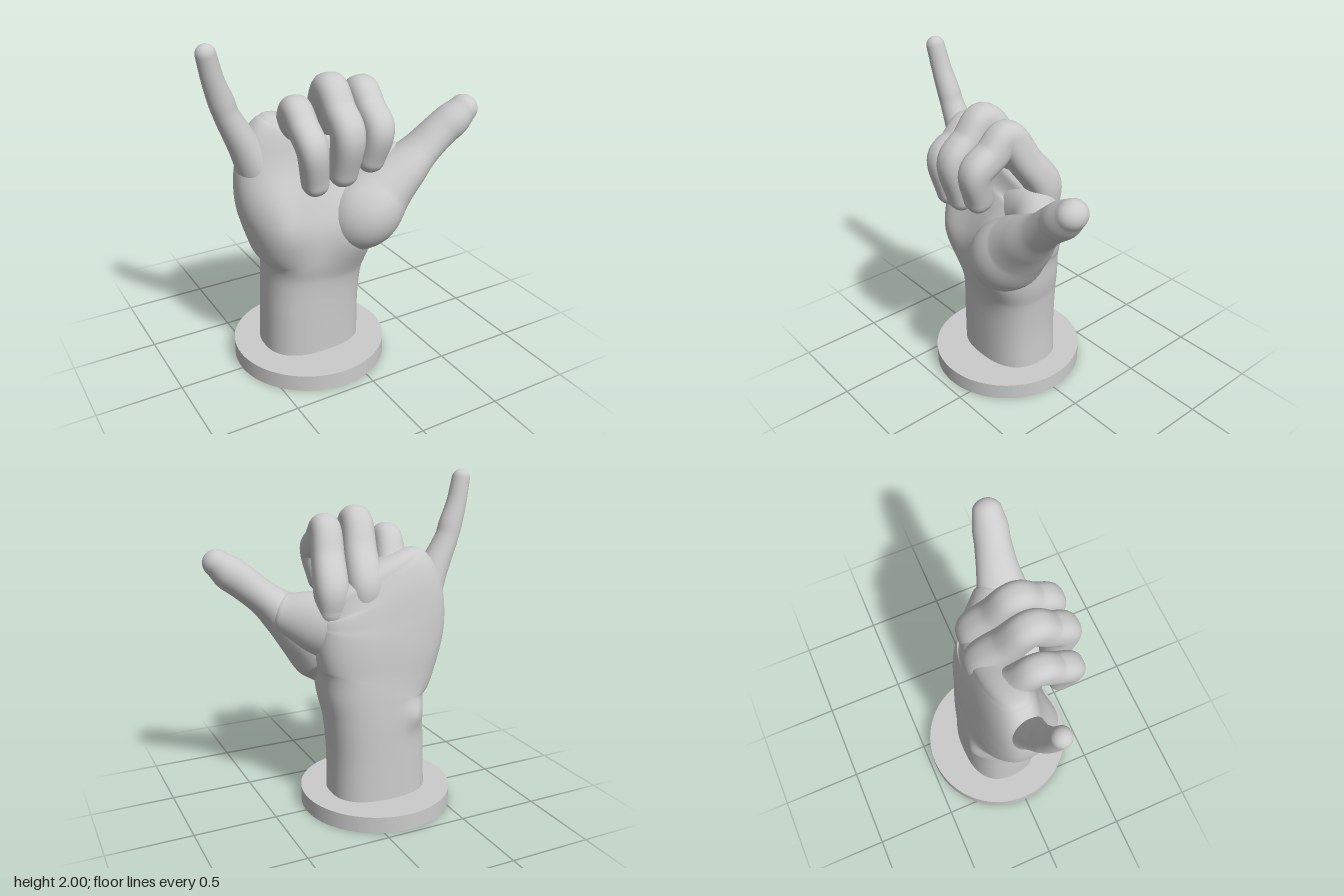
import * as THREE from 'three';

const material = new THREE.MeshStandardMaterial({ color: 0xcccccc, roughness: 0.8 });
const X = new THREE.Vector3(1, 0, 0);
const Z = new THREE.Vector3(0, 0, 1);

// Sweeps rounded cross-sections along a curve.
// Stations are [x, y, z, half width along side, half depth]; caps scale the rounded ends.
function limb(stations, { side = X, power = 2.3, caps = [1, 1], rows = 40, cols = 40 } = {}) {
  const path = new THREE.CatmullRomCurve3(stations.map(s => new THREE.Vector3(s[0], s[1], s[2])));
  const size = new THREE.CatmullRomCurve3(
    stations.map(s => new THREE.Vector3(s[3], s[4], 0)), false, 'catmullrom', 0.5);
  const steps = [];
  const capRows = 8;
  for (let k = 0; k < capRows; k++) steps.push([0, -(1 - k / capRows) * Math.PI / 2]);
  for (let k = 0; k <= rows; k++) steps.push([k / rows, 0]);
  for (let k = 1; k <= capRows; k++) steps.push([1, (k / capRows) * Math.PI / 2]);

  const round = v => Math.sign(v) * Math.abs(v) ** (2 / power);
  const positions = [], index = [];
  steps.forEach(([u, phi], i) => {
    const t = path.getTangent(u);
    const s = side.clone().addScaledVector(t, -side.dot(t)).normalize();
    const n = new THREE.Vector3().crossVectors(t, s);
    const r = size.getPoint(u);
    const bulge = Math.min(r.x, r.y) * caps[u > 0.5 ? 1 : 0];
    const center = path.getPoint(u).addScaledVector(t, bulge * Math.sin(phi));
    const shrink = Math.max(Math.cos(phi), 0.005);
    for (let j = 0; j < cols; j++) {
      const angle = (j / cols) * Math.PI * 2;
      const p = center.clone()
        .addScaledVector(s, r.x * shrink * round(Math.cos(angle)))
        .addScaledVector(n, r.y * shrink * round(Math.sin(angle)));
      positions.push(p.x, p.y, p.z);
      if (i > 0) {
        const a = (i - 1) * cols + j, b = (i - 1) * cols + (j + 1) % cols;
        index.push(a, b, b + cols, a, b + cols, a + cols);
      }
    }
  });
  const geometry = new THREE.BufferGeometry();
  geometry.setAttribute('position', new THREE.Float32BufferAttribute(positions, 3));
  geometry.setIndex(index);
  geometry.computeVertexNormals();
  return geometry;
}

// Pushes the front (+1) or back (-1) of a geometry outwards in a soft mound.
function mound(geometry, facing, x, y, rx, ry, height) {
  const p = geometry.attributes.position;
  for (let i = 0; i < p.count; i++) {
    const weight = THREE.MathUtils.smoothstep(p.getZ(i) * facing, -0.05, 0.18);
    const d = ((p.getX(i) - x) / rx) ** 2 + ((p.getY(i) - y) / ry) ** 2;
    p.setZ(i, p.getZ(i) + facing * height * weight * Math.exp(-d));
  }
  geometry.computeVertexNormals();
}

export function createModel() {
  const model = new THREE.Group();
  model.name = 'handSculpture';
  const add = (name, geometry) => {
    const mesh = new THREE.Mesh(geometry, material);
    mesh.name = name;
    model.add(mesh);
    return mesh;
  };

  // Round plinth
  add('base', new THREE.CylinderGeometry(0.46, 0.46, 0.1, 72)).position.set(-0.155, 0.05, -0.012);

  // Forearm, wrist and palm in one sweep
  const palm = limb([
    [-0.15, 0.06, -0.025, 0.302, 0.236],
    [-0.147, 0.35, -0.02, 0.297, 0.235],
    [-0.133, 0.6, -0.015, 0.302, 0.235],
    [-0.13, 0.72, -0.005, 0.325, 0.238],
    [-0.15, 0.85, -0.005, 0.368, 0.228],
    [-0.165, 1.0, -0.015, 0.4, 0.212],
    [-0.18, 1.15, -0.02, 0.41, 0.19],
    [-0.165, 1.3, -0.025, 0.395, 0.16],
    [-0.115, 1.41, -0.02, 0.345, 0.125],
  ], { power: 2.5, caps: [0, 0.6], rows: 70, cols: 80 });
  mound(palm, 1, -0.42, 0.98, 0.17, 0.24, 0.08);  // heel of the hand
  mound(palm, 1, 0.05, 0.9, 0.2, 0.22, 0.12);     // ball of the thumb
  mound(palm, -1, -0.32, 0.6, 0.07, 0.08, 0.035); // wrist bone
  add('palmAndForearm', palm);

  // Thumb with its fleshy root, and the web joining it to the palm
  add('thumb', limb([
    [-0.02, 0.8, 0.09, 0.13, 0.13],
    [0.09, 0.95, 0.185, 0.225, 0.21],
    [0.23, 1.09, 0.2, 0.2, 0.175],
    [0.35, 1.2, 0.23, 0.16, 0.13],
    [0.45, 1.29, 0.245, 0.128, 0.102],
    [0.57, 1.395, 0.265, 0.108, 0.1],
    [0.64, 1.45, 0.28, 0.105, 0.1],
    [0.705, 1.508, 0.29, 0.088, 0.08],
  ], { side: Z, power: 2, rows: 56 }));
  add('thumbWeb', limb([
    [-0.02, 1.12, -0.02, 0.17, 0.24],
    [0.18, 1.16, 0.05, 0.15, 0.195],
    [0.34, 1.2, 0.17, 0.125, 0.125],
  ], { side: Z, power: 2, caps: [0.6, 0.5] }));

  // Raised little finger
  add('littleFinger', limb([
    [-0.4, 1.12, -0.01, 0.13, 0.13],
    [-0.475, 1.28, -0.005, 0.108, 0.115],
    [-0.535, 1.41, 0, 0.09, 0.095],
    [-0.63, 1.6, 0.005, 0.07, 0.072],
    [-0.658, 1.68, 0.01, 0.07, 0.068],
    [-0.7, 1.8, 0.02, 0.06, 0.06],
    [-0.735, 1.943, 0.033, 0.054, 0.054],
  ], { power: 2 }));

  // Curled fingers: knuckle, middle joint, end joint, tip; r is the half width
  const curled = [
    ['indexFinger', 0.088, [0.14, 1.36, -0.03], [0.085, 1.67, 0.18], [0.07, 1.52, 0.375], [0.045, 1.345, 0.345]],
    ['middleFinger', 0.092, [-0.05, 1.38, -0.06], [-0.11, 1.705, 0.18], [-0.115, 1.52, 0.375], [-0.12, 1.295, 0.335]],
    ['ringFinger', 0.084, [-0.24, 1.36, -0.06], [-0.295, 1.605, 0.14], [-0.3, 1.46, 0.325], [-0.272, 1.252, 0.305]],
  ];
  for (const [name, r, knuckle, middle, end, tip] of curled) {
    const rise = knuckle.map((v, i) => v + (middle[i] - v) * 0.5);
    const fall = middle.map((v, i) => v + (end[i] - v) * 0.5);
    add(name, limb([
      [knuckle[0], knuckle[1] - 0.12, knuckle[2] - 0.01, r, r],
      [...knuckle, r * 1.12, r * 1.15],
      [...rise, r * 1.08, r * 1.08],
      [...middle, r, r * 1.08],
      [...fall, r * 0.98, r * 1.02],
      [...end, r * 0.97, r],
      [...tip, r * 0.85, r * 0.88],
    ], { power: 2.4, rows: 60 }));
  }

  return model;
}
